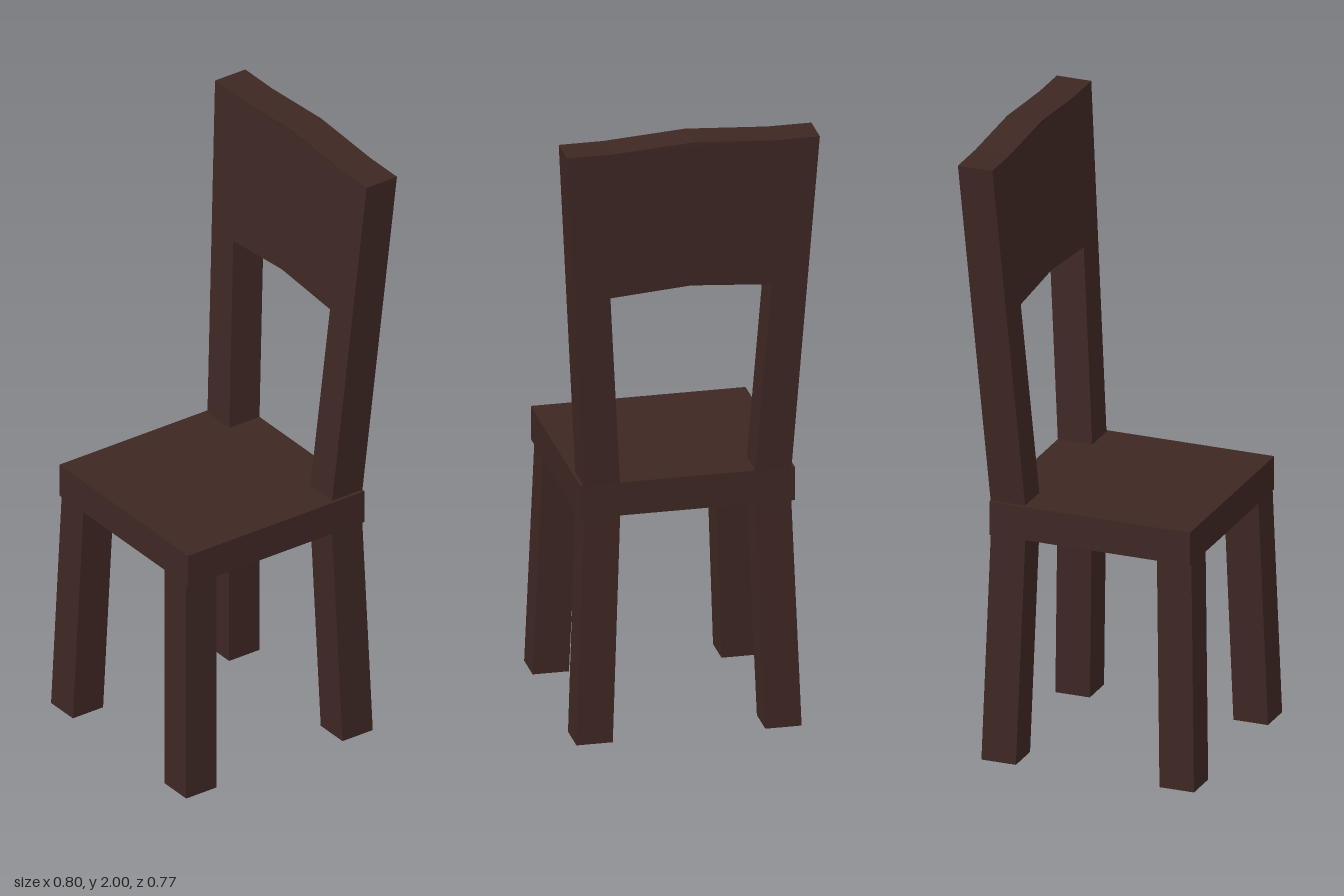
import * as THREE from 'three';

const SEAT_BOTTOM = 0.745, SEAT_TOP = 0.855, THICK = 0.115;
const wood = new THREE.MeshStandardMaterial({ color: 0x3e2723, flatShading: true });

function addMesh(group, name, geometry) {
  const mesh = new THREE.Mesh(geometry, wood);
  mesh.name = name;
  group.add(mesh);
  return mesh;
}

// Moves each vertex sideways by an offset [dx, dz] that depends on its height
function shear(geometry, offsetAt) {
  const p = geometry.attributes.position;
  for (let i = 0; i < p.count; i++) {
    const [dx, dz] = offsetAt(p.getY(i));
    p.setX(i, p.getX(i) + dx);
    p.setZ(i, p.getZ(i) + dz);
  }
  geometry.computeVertexNormals();
  return geometry;
}

// Square leg splayed outwards towards the floor; x and z are its centre at the seat
function legGeometry(x, z) {
  const geo = new THREE.BoxGeometry(THICK, SEAT_BOTTOM, THICK);
  geo.translate(x, SEAT_BOTTOM / 2, z);
  return shear(geo, (y) => {
    const splay = 1 - y / SEAT_BOTTOM;
    return [Math.sign(x) * 0.028 * splay, Math.sign(z) * 0.02 * splay];
  });
}

// Two flaring posts joined by a wide, gently arched panel, leaning back
function backrestGeometry() {
  const half = [
    [0, 1.51], [0.255, 1.49], [0.214, SEAT_TOP],
    [0.329, SEAT_TOP], [0.4, 1.983], [0.26, 1.983],
  ];
  const mirrored = half.slice(1).reverse().map(([x, y]) => [-x, y]);
  const outline = [...half, [0, 2], ...mirrored];
  const shape = new THREE.Shape(outline.map(([x, y]) => new THREE.Vector2(x, y)));
  const geo = new THREE.ExtrudeGeometry(shape, { depth: THICK, bevelEnabled: false });
  geo.translate(0, 0, -0.305);
  return shear(geo, (y) => {
    const lean = Math.min(1, (y - SEAT_TOP) / (1.983 - SEAT_TOP));
    return [0, -0.08 * lean];
  });
}

export function createModel() {
  const chair = new THREE.Group();
  chair.name = 'chair';

  // Seat slab
  const seat = new THREE.BoxGeometry(0.68, SEAT_TOP - SEAT_BOTTOM, 0.67);
  seat.translate(0, (SEAT_TOP + SEAT_BOTTOM) / 2, 0.03);
  addMesh(chair, 'seat', seat);

  // Four legs
  for (const [side, sx] of [['Left', 1], ['Right', -1]]) {
    addMesh(chair, `front${side}Leg`, legGeometry(sx * 0.271, 0.307));
    addMesh(chair, `back${side}Leg`, legGeometry(sx * 0.271, -0.247));
  }

  // Backrest
  addMesh(chair, 'backrest', backrestGeometry());
  return chair;
}
